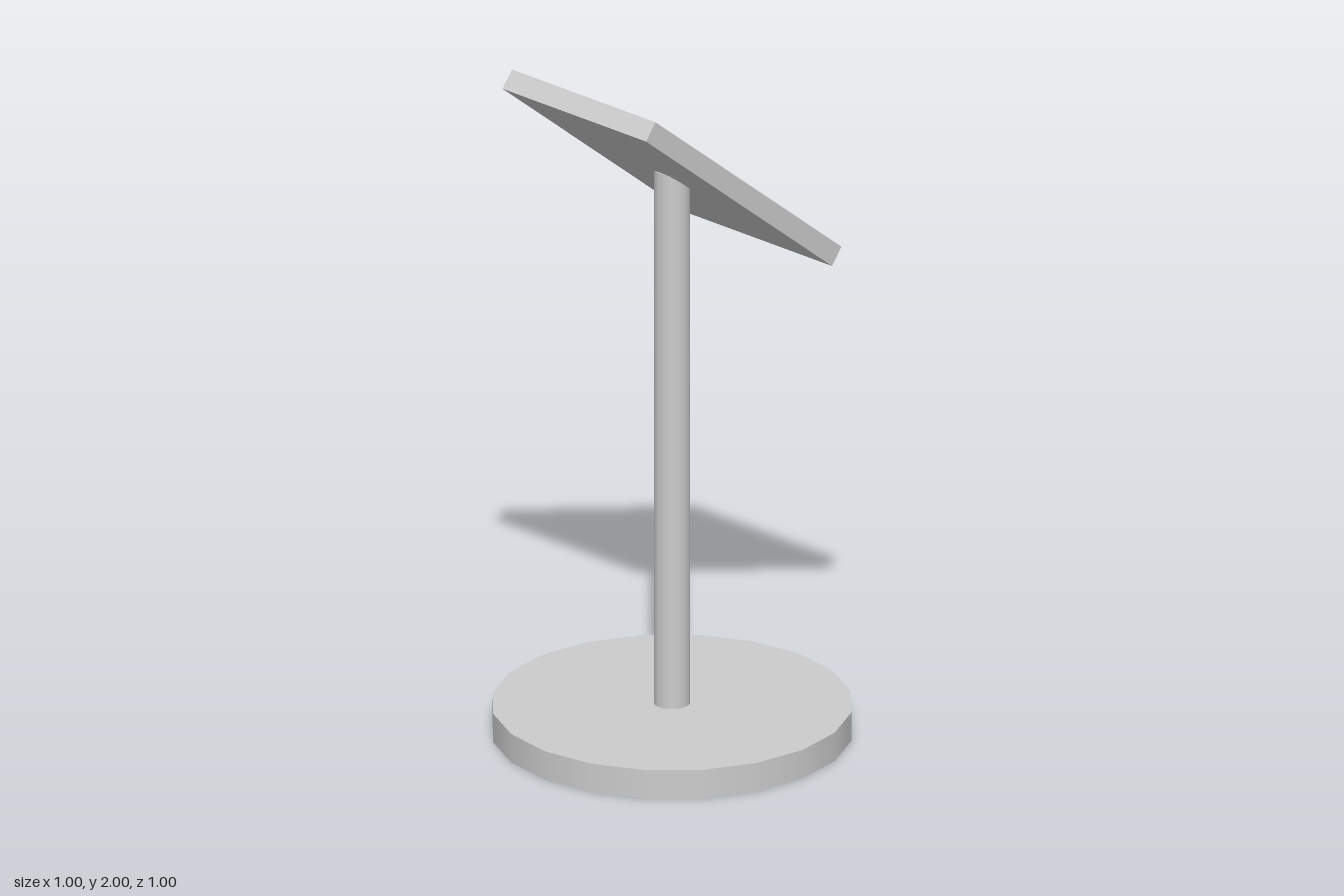
import * as THREE from 'three';

export function createModel() {
  const group = new THREE.Group();
  const material = new THREE.MeshStandardMaterial({ color: 0xcccccc });

  const add = (name, geometry, y) => {
    const mesh = new THREE.Mesh(geometry, material);
    mesh.name = name;
    mesh.position.y = y;
    group.add(mesh);
    return mesh;
  };

  const baseHeight = 0.085;
  const poleTop = 1.68;

  // Round foot plate
  add('base', new THREE.CylinderGeometry(0.502, 0.502, baseHeight, 20), baseHeight / 2);

  // Upright pole, ending inside the panel
  const poleLength = poleTop - baseHeight;
  add('pole', new THREE.CylinderGeometry(0.05, 0.05, poleLength, 20), baseHeight + poleLength / 2);

  // Tilted panel, raised towards the front
  const panel = add('panel', new THREE.BoxGeometry(0.555, 0.06, 0.942), 1.683);
  panel.rotation.x = -THREE.MathUtils.degToRad(38.5);

  return group;
}
